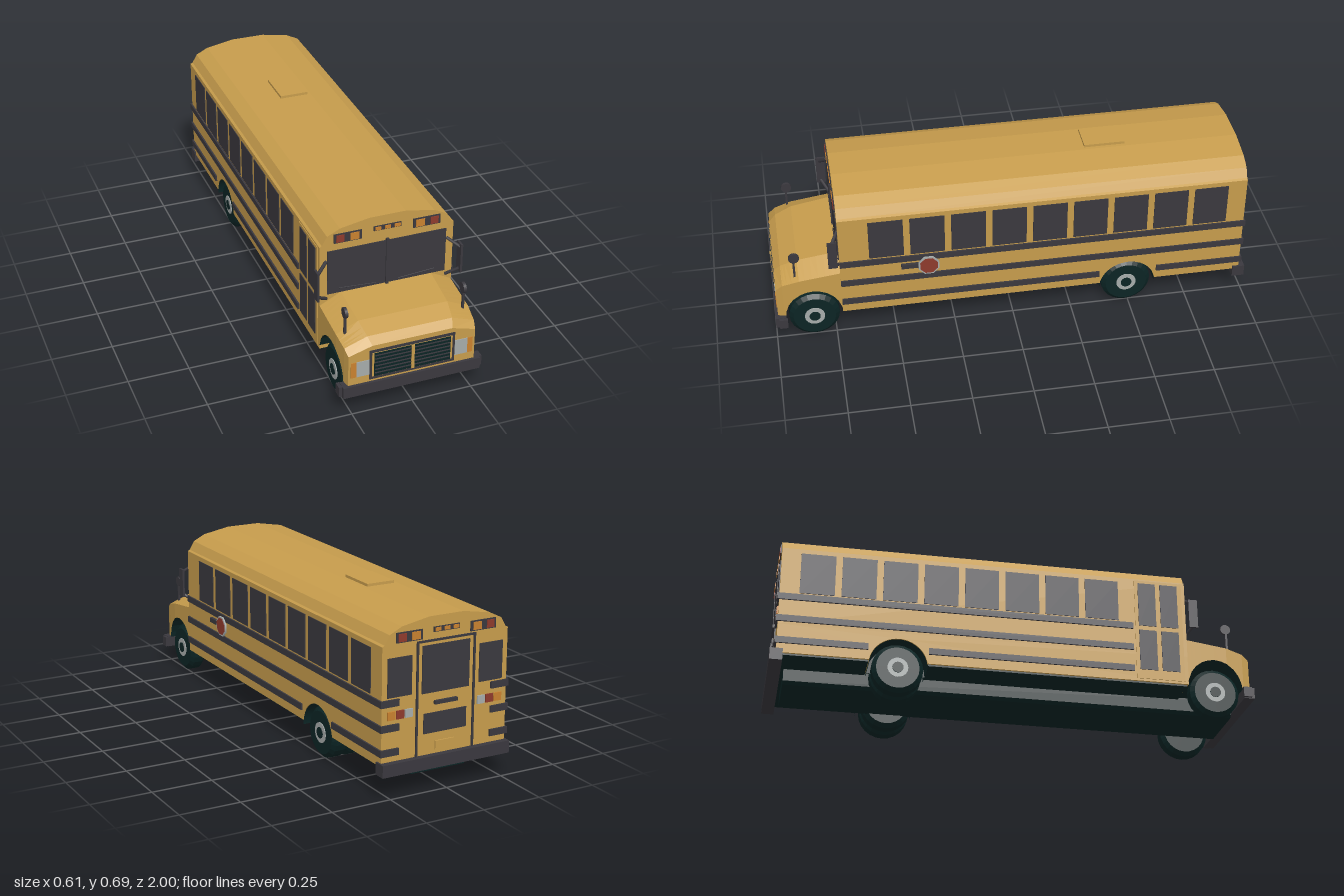
import * as THREE from 'three';

const material = (name, color) => {
  const m = new THREE.MeshStandardMaterial({ color });
  m.name = name;
  return m;
};

export function createModel() {
  const bus = new THREE.Group();
  bus.name = 'schoolBus';
  const yellow = material('bus yellow', 0xc69c4c);
  const dark = material('charcoal trim', 0x3a383e);
  const rubber = material('dark green rubber', 0x0b2424);
  const orange = material('amber', 0xc8812f);
  const red = material('lamp red', 0x8e3a2c);
  const grey = material('light grey', 0xa5abaa);

  const add = (name, geo, mat, parent = bus) => {
    const mesh = new THREE.Mesh(geo, mat);
    mesh.name = name;
    parent.add(mesh);
    return mesh;
  };
  // Box from its extents, in any order
  const box = (name, mat, x0, x1, y0, y1, z0, z1) => {
    const g = new THREE.BoxGeometry(Math.abs(x1 - x0), Math.abs(y1 - y0), Math.abs(z1 - z0));
    g.translate((x0 + x1) / 2, (y0 + y1) / 2, (z0 + z1) / 2);
    return add(name, g, mat);
  };
  // Straight bar between two points
  const bar = (name, mat, a, b, r) => {
    const p = new THREE.Vector3(...a), q = new THREE.Vector3(...b);
    const m = add(name, new THREE.CylinderGeometry(r, r, p.distanceTo(q), 6), mat);
    m.position.copy(p).add(q).multiplyScalar(0.5);
    m.quaternion.setFromUnitVectors(new THREE.Vector3(0, 1, 0), q.sub(p).normalize());
  };
  const disc = (name, mat, r, x0, x1, y, z, sides = 24) => {
    const m = add(name, new THREE.CylinderGeometry(r, r, Math.abs(x1 - x0), sides).rotateZ(Math.PI / 2), mat);
    m.position.set((x0 + x1) / 2, y, z);
    return m;
  };

  const FRONT = 0.72, REAR = -0.975, W = 0.278, REAR_AXLE = -0.487, FRONT_AXLE = 0.837;

  // Cabin with faceted roof
  const half = [[W, 0.25], [W, 0.592], [0.268, 0.597], [0.247, 0.634], [0.195, 0.66], [0.075, 0.682]];
  const outline = [...half, ...half.map(([x, y]) => [-x, y]).reverse()];
  const cabin = new THREE.ExtrudeGeometry(new THREE.Shape(outline.map(p => new THREE.Vector2(...p))),
    { depth: FRONT - REAR, bevelEnabled: false });
  add('cabin', cabin.translate(0, 0, REAR), yellow);
  box('roofHatch', yellow, -0.061, 0.061, 0.675, 0.693, -0.33, -0.5);

  // Lower body with rear wheel arches
  const side = new THREE.Shape();
  side.moveTo(REAR, 0.125);
  side.lineTo(REAR_AXLE - 0.118, 0.125);
  side.absarc(REAR_AXLE, 0.105, 0.12, Math.PI - 0.17, 0.17, true);
  side.lineTo(FRONT, 0.125);
  side.lineTo(FRONT, 0.25);
  side.lineTo(REAR, 0.25);
  const lower = new THREE.ExtrudeGeometry(side, { depth: 2 * W, bevelEnabled: false });
  add('lowerBody', lower.translate(0, 0, -W).rotateY(-Math.PI / 2), yellow);
  const lining = rubber.clone();
  lining.side = THREE.DoubleSide;
  for (const [len, open] of [[2 * W - 0.004, true], [0.37, false]]) {
    const well = new THREE.CylinderGeometry(0.1185, 0.1185, len, 20, 1, open, 0, Math.PI);
    add('wheelWell', well.rotateZ(Math.PI / 2).rotateX(0), lining).position.set(0, 0.105, REAR_AXLE);
    const g = bus.children.at(-1).geometry;
    g.computeBoundingBox();
    // Turn the half tube so that it opens downwards
    if (g.boundingBox.max.y < 0.05) g.rotateX(Math.PI);
    else if (g.boundingBox.min.y < -0.05) g.rotateX(g.boundingBox.max.z > 0.05 ? -Math.PI / 2 : Math.PI / 2);
  }

  // Underside
  box('floorFront', rubber, -0.27, 0.27, 0.118, 0.126, 0.715, REAR_AXLE + 0.12);
  box('floorRear', rubber, -0.27, 0.27, 0.118, 0.126, REAR_AXLE - 0.12, -0.96);
  const beam = new THREE.Shape([[-0.12, 0.055], [0.12, 0.055], [0.133, 0.068], [0.133, 0.126], [-0.133, 0.126], [-0.133, 0.068]]
    .map(p => new THREE.Vector2(...p)));
  add('chassis', new THREE.ExtrudeGeometry(beam, { depth: 1.88, bevelEnabled: false }).translate(0, 0, -0.935), rubber);

  // Hood lofted from front to back: z, half width, shoulder height, top half width, top height
  const stations = [[0.988, 0.262, 0.262, 0.165, 0.29], [0.96, 0.268, 0.285, 0.175, 0.318],
    [0.89, 0.275, 0.305, 0.185, 0.347], [0.715, 0.277, 0.328, 0.19, 0.374]];
  const sectionAt = z => {
    let k = 0;
    while (k < 2 && z < stations[k + 1][0]) k++;
    const a = stations[k], b = stations[k + 1], t = (z - a[0]) / (b[0] - a[0]);
    const [, w, s, c, top] = a.map((v, i) => v + (b[i] - v) * t);
    const d = Math.abs(z - FRONT_AXLE) / 0.118;
    const base = d < 1 ? 0.12 + 0.126 * Math.sqrt(1 - d * d) : 0.125;
    return [[-w, base], [-w, s], [-c, top], [c, top], [w, s], [w, base]].map(([x, y]) => [x, y, z]);
  };
  const rows = [0.988, 0.96, 0.955, 0.952, 0.94, 0.92, 0.89, 0.865, 0.837, 0.81, 0.78, 0.755, 0.735, 0.722, 0.715].map(sectionAt);
  const skin = [], under = [];
  for (let j = 0; j < rows.length - 1; j++) {
    for (let i = 0; i < 6; i++) {
      const n = (i + 1) % 6, A = rows[j][i], B = rows[j][n], C = rows[j + 1][n], D = rows[j + 1][i];
      (i === 5 ? under : skin).push(...A, ...B, ...C, ...A, ...C, ...D);
    }
  }
  for (let i = 1; i < 5; i++) skin.push(...rows[0][0], ...rows[0][i + 1], ...rows[0][i]);
  for (const [name, pos, mat] of [['hood', skin, yellow], ['hoodUnderside', under, rubber]]) {
    const g = new THREE.BufferGeometry();
    g.setAttribute('position', new THREE.Float32BufferAttribute(pos, 3));
    g.computeVertexNormals();
    add(name, g, mat);
  }

  // Grille
  box('grilleFrame', dark, -0.177, 0.177, 0.137, 0.27, 0.97, 0.99);
  box('grilleSurround', yellow, -0.166, 0.166, 0.15, 0.258, 0.98, 0.992);
  box('grilleInset', rubber, -0.158, 0.158, 0.151, 0.257, 0.98, 0.993);
  for (let i = 0; i < 6; i++) box('grilleSlat', dark, -0.155, 0.155, 0.164 + i * 0.016, 0.168 + i * 0.016, 0.985, 0.996);
  box('grilleDivider', yellow, -0.006, 0.006, 0.151, 0.257, 0.985, 0.998);

  // Bumpers
  box('frontBumper', dark, -0.285, 0.285, 0.08, 0.128, 0.955, 1);
  box('rearBumper', dark, -0.285, 0.285, 0.09, 0.14, -0.948, -1);

  // Windscreen and wipers
  box('windscreen', dark, -0.247, 0.247, 0.375, 0.568, FRONT - 0.004, FRONT + 0.004);
  box('windscreenPillar', dark, -0.006, 0.006, 0.372, 0.577, FRONT, FRONT + 0.01);
  bar('wiper', dark, [-0.2, 0.397, 0.727], [-0.047, 0.386, 0.727], 0.002);
  bar('wiper', dark, [0.2, 0.397, 0.727], [0.047, 0.386, 0.727], 0.002);

  // Warning and marker lamps above the glass at both ends
  for (const [z, d] of [[FRONT, 1], [REAR, -1]]) {
    for (const s of [-1, 1]) {
      box('lampPlate', dark, s * 0.106, s * 0.22, 0.599, 0.639, z - d * 0.004, z + d * 0.004);
      box('amberLamp', orange, s * 0.117, s * 0.154, 0.603, 0.634, z, z + d * 0.007);
      box('redLamp', red, s * 0.178, s * 0.211, 0.603, 0.634, z, z + d * 0.007);
    }
    box('markerPlate', dark, -0.057, 0.057, 0.62, 0.64, z - d * 0.004, z + d * 0.004);
    for (const x of [-0.04, 0, 0.04]) box('markerLamp', orange, x - 0.012, x + 0.012, 0.623, 0.637, z, z + d * 0.007);
  }

  for (const s of [-1, 1]) {
    // Side windows; the right side gives up one for the door
    for (let i = s > 0 ? 0 : 1; i < 9; i++) {
      const z = 0.527 - i * 0.169;
      box('sideWindow', dark, s * (W - 0.004), s * (W + 0.003), 0.392, 0.572, z - 0.071, z + 0.071);
    }
    // Rub rails, wrapped round the rear corners
    const start = s > 0 ? FRONT : 0.49;
    for (const [y, spans] of [[0.358, [[start, -0.98]]], [0.261, [[start, -0.98]]],
      [0.165, [[start, -0.365], [-0.61, -0.98]]]]) {
      for (const [a, b] of spans) box('rubRail', dark, s * (W - 0.004), s * 0.285, y, y + 0.027, a, b);
      box('rearRubRail', dark, s * 0.205, s * 0.285, y, y + 0.027, -0.97, -0.983);
    }
    // Headlights and bumper ends
    box('headlight', grey, s * 0.177, s * 0.23, 0.162, 0.23, 0.982, 0.991);
    box('turnSignal', orange, s * 0.23, s * 0.252, 0.162, 0.23, 0.982, 0.991);
    box('bumperEnd', dark, s * 0.283, s * 0.298, 0.083, 0.126, 0.95, 0.985);
    // Cabin mirrors
    box('mirror', dark, s * 0.294, s * 0.303, 0.378, 0.505, 0.728, 0.766);
    bar('mirrorArm', dark, [s * 0.25, 0.525, 0.72], [s * 0.298, 0.488, 0.75], 0.007);
    bar('mirrorArm', dark, [s * 0.25, 0.355, 0.72], [s * 0.298, 0.39, 0.75], 0.007);
    // Hood mirrors
    box('hoodMirrorPost', dark, s * 0.24, s * 0.249, 0.31, 0.395, 0.9, 0.909);
    disc('hoodMirror', dark, 0.022, s * 0.238, s * 0.25, 0.405, 0.902, 16);
    // Rear windows and tail lamps
    box('rearSideWindow', dark, s * 0.15, s * 0.255, 0.392, 0.545, REAR + 0.004, REAR - 0.004);
    [[0.145, grey], [0.183, red], [0.221, orange]].forEach(([x, mat]) =>
      box('tailLamp', mat, s * x, s * (x + 0.033), 0.305, 0.338, REAR + 0.004, REAR - 0.006));
    // Rear door frame post
    box('rearDoorPost', dark, s * 0.122, s * 0.13, 0.14, 0.592, REAR + 0.004, REAR - 0.006);
  }

  // Rear door
  box('rearDoorHeader', dark, -0.13, 0.13, 0.585, 0.593, REAR + 0.004, REAR - 0.006);
  box('rearDoorWindow', dark, -0.105, 0.105, 0.385, 0.572, REAR + 0.004, REAR - 0.004);
  box('rearDoorHandle', dark, -0.05, 0.05, 0.338, 0.352, REAR + 0.004, REAR - 0.012);
  box('rearDoorLowerWindow', dark, -0.095, 0.095, 0.225, 0.305, REAR + 0.004, REAR - 0.004);
  box('numberPlate', yellow, -0.042, 0.042, 0.155, 0.19, REAR + 0.004, REAR - 0.005);

  // Entrance door on the right side
  box('entranceDoor', yellow, -W + 0.004, -W - 0.003, 0.135, 0.585, 0.5, 0.705);
  for (const z of [0.515, 0.61]) {
    box('doorPane', dark, -W, -W - 0.006, 0.375, 0.572, z, z + 0.075);
    box('doorPane', dark, -W, -W - 0.006, 0.175, 0.355, z, z + 0.075);
  }

  // Stop sign on the left side
  box('stopSignArm', dark, W, 0.291, 0.325, 0.345, 0.38, 0.47);
  disc('stopSignBorder', grey, 0.046, 0.286, 0.293, 0.333, 0.357, 8).rotation.x = Math.PI / 8;
  disc('stopSignFace', red, 0.039, 0.288, 0.295, 0.333, 0.357, 8).rotation.x = Math.PI / 8;

  // Wheels
  const tyre = new THREE.LatheGeometry([[0, -0.036], [0.088, -0.036], [0.105, -0.021], [0.105, 0.021], [0.088, 0.036], [0, 0.036]]
    .map(p => new THREE.Vector2(...p)), 24).toNonIndexed();
  tyre.computeVertexNormals();
  tyre.rotateZ(Math.PI / 2);
  for (const z of [FRONT_AXLE, REAR_AXLE]) {
    disc('axle', rubber, 0.02, -0.2, 0.2, 0.105, z, 10);
    for (const s of [-1, 1]) {
      for (const x of z > 0 ? [0.227] : [0.227, 0.15]) add('tyre', tyre, rubber).position.set(s * x, 0.105, z);
      disc('hubRing', grey, 0.042, s * 0.25, s * 0.266, 0.105, z);
      disc('hubCentre', rubber, 0.023, s * 0.25, s * 0.269, 0.105, z, 16);
    }
  }
  return bus;
}
